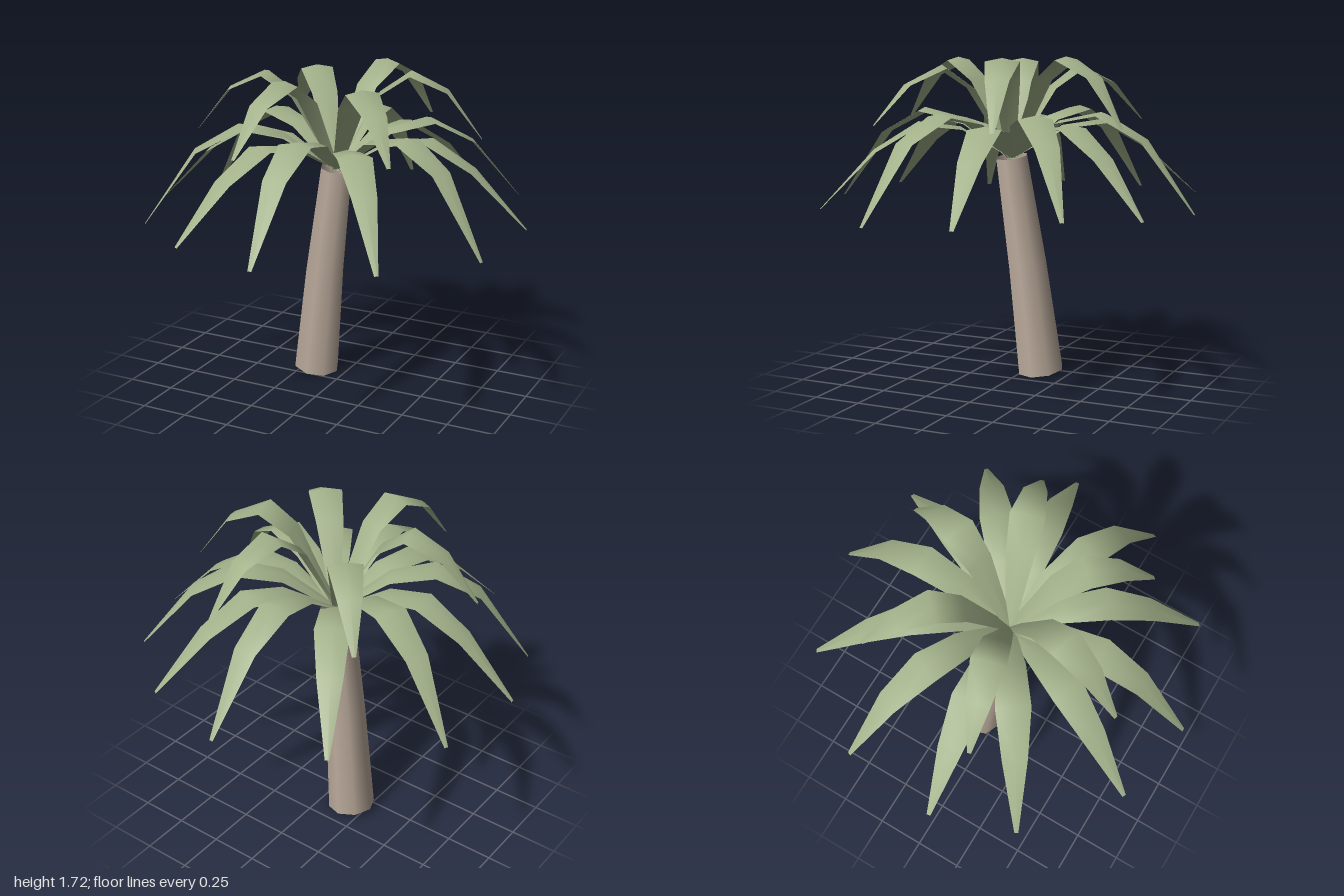
import * as THREE from 'three';

const leafMat = new THREE.MeshStandardMaterial({ color: 0xa3b18a, side: THREE.DoubleSide });
leafMat.name = 'sage green';
const barkMat = new THREE.MeshStandardMaterial({ color: 0xb9a99a, side: THREE.DoubleSide });
barkMat.name = 'pale bark';

// Profiles run from hub to tip: [share of reach, height, width]
const archedProfile = [[0, 1.19, 0.045], [0.27, 1.395, 0.14], [0.5, 1.445, 0.175], [0.73, 1.32, 0.125], [1, 0, 0.02]];
const lowProfile = [[0, 1.19, 0.045], [0.27, 1.36, 0.14], [0.49, 1.39, 0.175], [0.72, 1.25, 0.125], [1, 0, 0.02]];
const crownProfile = [[0, 1.19, 0.045], [0.3, 1.6, 0.14], [0.51, 1.71, 0.175], [0.76, 1.62, 0.12], [1, 0, 0.02]];

// Tips [x, z, height] around the tree; the lower ring alternates two profiles
const lowerTips = [
  [0, -1, 0.95], [0.46, -0.89, 0.97], [0.79, -0.62, 0.995], [0.99, -0.16, 0.955],
  [0.94, 0.35, 0.93], [0.6, 0.8, 0.95], [0.05, 1, 0.95], [-0.41, 0.91, 0.97],
  [-0.84, 0.54, 0.93], [-0.99, 0.12, 0.955], [-0.93, -0.39, 0.96], [-0.56, -0.83, 0.99],
];
// Crown tips also carry a lift for the top of the arch
const upperTips = [
  [0.24, -0.7, 1.38, 0.015], [0.71, -0.23, 1.38, 0.01], [0.53, 0.52, 1.38, -0.03],
  [-0.2, 0.71, 1.38, 0], [-0.71, 0.2, 1.38, -0.01], [-0.5, -0.54, 1.38, -0.035],
];

// A leaf blade: three points across (edge, raised midrib, edge) swept along a profile
function frond(name, [tx, tz, tipY, lift = 0], profile) {
  const reach = Math.hypot(tx, tz);
  const sx = -tz / reach, sz = tx / reach;
  const pos = [], index = [];
  profile.forEach(([t, height, w], i) => {
    const y = t === 1 ? tipY : height + (i ? lift : 0);
    for (const k of [-0.5, 0, 0.5]) {
      pos.push(tx * t + sx * w * k, y - (k ? w * 0.1 : 0), tz * t + sz * w * k);
    }
    if (i === 0) return;
    for (let j = 0; j < 2; j++) {
      const a = (i - 1) * 3 + j, b = a + 3;
      index.push(a, a + 1, b, a + 1, b + 1, b);
    }
  });
  const geo = new THREE.BufferGeometry();
  geo.setAttribute('position', new THREE.Float32BufferAttribute(pos, 3));
  geo.setIndex(index);
  geo.computeVertexNormals();
  const mesh = new THREE.Mesh(geo, leafMat);
  mesh.name = name;
  return mesh;
}

// Leaning, open, eight-sided trunk: each ring is shifted and tilted along the lean
function trunk() {
  const geo = new THREE.CylinderGeometry(0.085, 0.125, 1.18, 8, 2, true);
  const p = geo.attributes.position;
  for (let i = 0; i < p.count; i++) {
    const t = p.getY(i) / 1.18 + 0.5;
    const bend = 4 * t * (1 - t) * 0.01;
    const x = p.getX(i), z = p.getZ(i);
    p.setXYZ(i,
      x - 0.172 * (1 - t) - bend,
      0.021 + 1.178 * t - x * 0.15 - z * 0.075,
      z - 0.095 * (1 - t) - bend * 0.3);
  }
  const mesh = new THREE.Mesh(geo, barkMat);
  mesh.name = 'trunk';
  return mesh;
}

export function createModel() {
  const tree = new THREE.Group();
  tree.name = 'palmTree';

  const lower = new THREE.Group();
  lower.name = 'lowerFronds';
  lowerTips.forEach((tip, i) => lower.add(frond('lowerFrond', tip, i % 2 ? lowProfile : archedProfile)));

  const upper = new THREE.Group();
  upper.name = 'upperFronds';
  upperTips.forEach((tip) => upper.add(frond('upperFrond', tip, crownProfile)));

  tree.add(trunk(), lower, upper);
  return tree;
}
